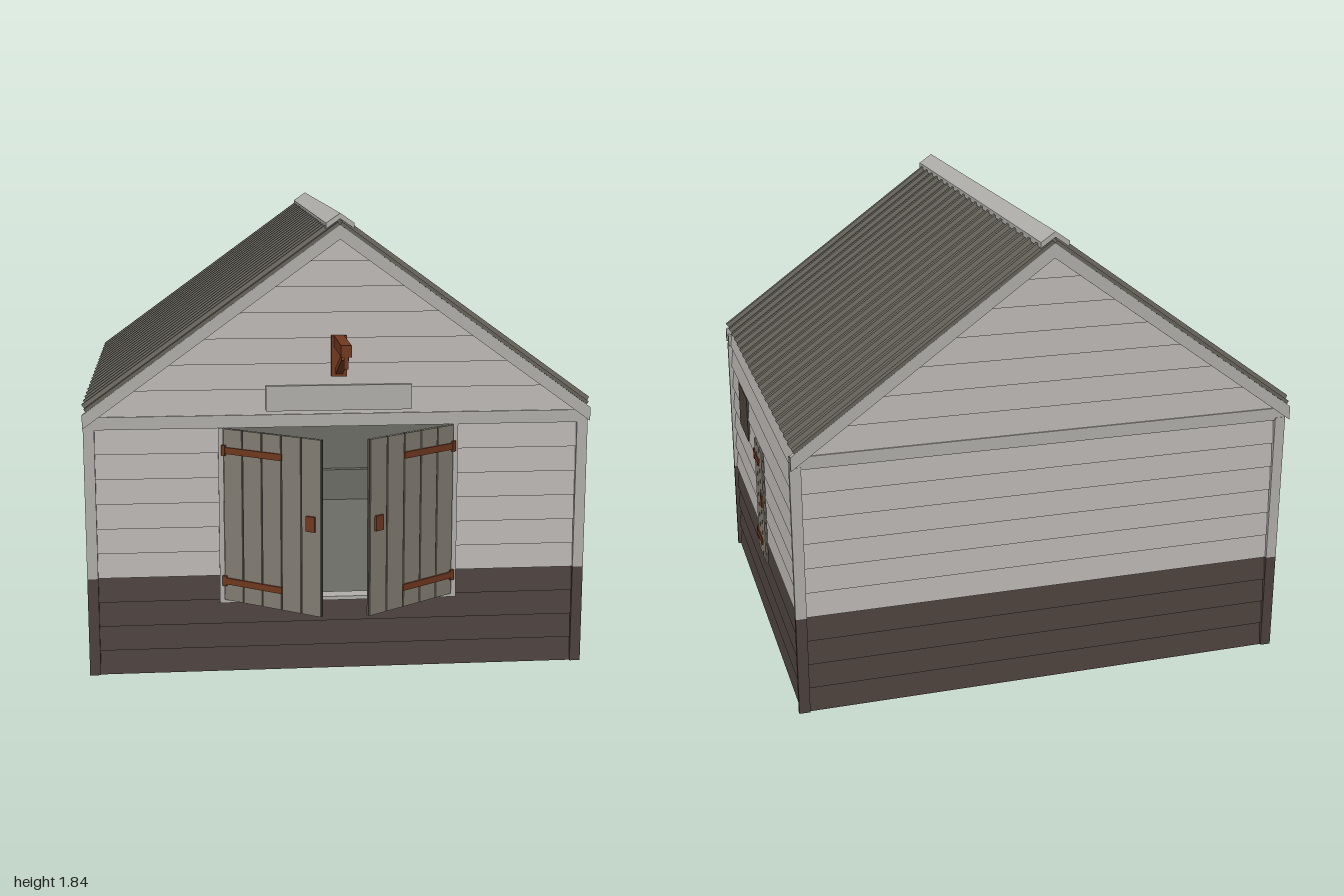
import * as THREE from 'three';

const paint = (name, color) => {
  const m = new THREE.MeshStandardMaterial({ color, side: THREE.DoubleSide, flatShading: true });
  m.name = name;
  return m;
};

export function createModel() {
  const wall = paint('pale wall', 0xb6b2b0);
  const base = paint('dark base', 0x4c413d);
  const trim = paint('grey trim', 0xb0aeaa);
  const roofing = paint('roof sheet', 0x65635a);
  const timber = paint('door timber', 0x827d72);
  const groove = paint('door groove', 0x55514a);
  const rust = paint('rusty iron', 0x70391f);
  const lining = paint('interior lining', 0x6c6c65);
  const dark = paint('window', 0x4d4239);

  const root = new THREE.Group();
  root.name = 'barn';
  const FRONT = 0.76, BACK = -0.99, MID = -0.115;
  const EAVE = 1.05, SLOPE = 0.725, RIDGE = 1.79;

  const add = (parent, name, geo, mat) => {
    const m = new THREE.Mesh(geo, mat);
    m.name = name;
    parent.add(m);
    return m;
  };
  // box given by its min and max on each axis
  const box = (parent, name, mat, x0, x1, y0, y1, z0, z1) => {
    const m = add(parent, name, new THREE.BoxGeometry(Math.abs(x1 - x0), y1 - y0, Math.abs(z1 - z0)), mat);
    m.position.set((x0 + x1) / 2, (y0 + y1) / 2, (z0 + z1) / 2);
    return m;
  };

  // overlapping boards: slanted face plus underside lip; span(y, middle) gives [left, right] pairs
  const LIP = 0.012;
  function boards(y0, y1, span) {
    const pos = [];
    const quad = (a, b, c, d) => pos.push(...a, ...b, ...c, ...a, ...c, ...d);
    for (let y = y0; y < y1 - 0.001; y += 0.1) {
      const t = Math.min(y + 0.1, y1), mid = (y + t) / 2;
      const low = span(y, mid), high = span(t, mid);
      low.forEach(([l, r], i) => {
        const [tl, tr] = high[i];
        quad([l, y, LIP], [r, y, LIP], [tr, t, 0], [tl, t, 0]);
        quad([l, y, 0], [r, y, 0], [r, y, LIP], [l, y, LIP]);
      });
    }
    const g = new THREE.BufferGeometry();
    g.setAttribute('position', new THREE.Float32BufferAttribute(pos, 3));
    g.computeVertexNormals();
    return g;
  }
  function wallSide(name, x, z, turn, span, gable) {
    const g = new THREE.Group();
    g.name = name;
    g.position.set(x, 0, z);
    g.rotation.y = turn;
    add(g, 'baseBoards', boards(0, 0.4, span), base);
    add(g, 'wallBoards', boards(0.4, gable ? 1 : 1.08, span), wall);
    if (gable) {
      const rake = (y) => {
        const w = Math.max(0, Math.min(0.985, (1.785 - y) / SLOPE));
        return [[-w, w]];
      };
      add(g, 'gableBoards', boards(EAVE, 1.78, rake), wall);
      box(g, 'tieBeam', trim, -0.995, 0.995, 1, EAVE, -0.01, 0.018);
    }
    root.add(g);
  }
  const full = (w) => () => [[-w, w]];
  const doorway = (y, mid) => (mid > 0.3 ? [[-0.985, -0.46], [0.46, 0.985]] : [[-0.985, 0.985]]);
  wallSide('frontWall', 0, 0.705, 0, doorway, true);
  wallSide('backWall', 0, -0.935, Math.PI, full(0.985), true);
  wallSide('leftWall', 0.975, MID, Math.PI / 2, full(0.822), false);
  wallSide('rightWall', -0.975, MID, -Math.PI / 2, full(0.822), false);

  // two-tone corner posts
  for (const s of [-1, 1]) {
    for (const [z0, z1] of [[0.705, 0.725], [-0.955, -0.935]]) {
      box(root, 'cornerPostBase', base, s * 0.955, s * 0.998, 0, 0.4, z0, z1);
      box(root, 'cornerPost', trim, s * 0.955, s * 0.998, 0.4, 1.01, z0, z1);
    }
  }

  // ground slab and interior
  box(root, 'groundSlab', base, -0.975, 0.975, 0, 0.02, -0.935, 0.705);
  box(root, 'interiorFloor', lining, -0.96, 0.96, 0.28, 0.295, -0.92, 0.7);
  box(root, 'interiorBack', lining, -0.96, 0.96, 0.295, 1.04, -0.925, -0.915);
  box(root, 'interiorLedge', lining, -0.96, 0.96, 0.295, 0.45, -0.915, -0.88);
  for (const s of [-1, 1]) box(root, 'interiorSide', lining, s * 0.955, s * 0.965, 0.295, 1.04, -0.92, 0.69);

  // ribbed roof sheets, section extruded down each slope
  const angle = Math.atan(SLOPE), half = (FRONT - BACK) / 2;
  const section = new THREE.Shape();
  section.moveTo(-half, 0);
  section.lineTo(-half, 0.014);
  const RIBS = 20, pitch = (2 * half) / RIBS;
  for (let i = 0; i < RIBS; i++) {
    const c = -half + (i + 0.5) * pitch;
    section.lineTo(c - 0.017, 0.014);
    section.lineTo(c - 0.01, 0.03);
    section.lineTo(c + 0.01, 0.03);
    section.lineTo(c + 0.017, 0.014);
  }
  section.lineTo(half, 0.014);
  section.lineTo(half, 0);
  for (const s of [-1, 1]) {
    const geo = new THREE.ExtrudeGeometry(section, { depth: 0.982 / Math.cos(angle), bevelEnabled: false });
    geo.applyMatrix4(new THREE.Matrix4().makeBasis(
      new THREE.Vector3(0, 0, -s),
      new THREE.Vector3(s * Math.sin(angle), Math.cos(angle), 0),
      new THREE.Vector3(s * Math.cos(angle), -Math.sin(angle), 0)));
    add(root, 'roofSheet', geo, roofing).position.set(0, RIDGE, MID);
  }

  // chevrons: ridge cap and barge boards
  function chevron(name, w, top, edge, thick, z0, z1) {
    const sh = new THREE.Shape([[0, top], [-w, edge], [-w, edge - thick], [0, top - thick],
      [w, edge - thick], [w, edge]].map(([x, y]) => new THREE.Vector2(x, y)));
    const geo = new THREE.ExtrudeGeometry(sh, { depth: z1 - z0, bevelEnabled: false });
    add(root, name, geo, trim).position.z = z0;
  }
  chevron('ridgeCap', 0.055, 1.835, 1.797, 0.022, BACK - 0.002, FRONT + 0.002);
  chevron('frontBargeBoard', 0.998, RIDGE, 1.066, 0.055, FRONT - 0.02, FRONT);
  chevron('backBargeBoard', 0.998, RIDGE, 1.066, 0.055, BACK, BACK + 0.02);

  // doorway frame and blank board over it
  for (const s of [-1, 1]) box(root, 'doorJamb', trim, s * 0.455, s * 0.475, 0.29, 1, 0.68, 0.726);
  box(root, 'doorSill', trim, -0.475, 0.475, 0.288, 0.303, 0.66, 0.726);
  box(root, 'signBoard', trim, -0.287, 0.287, 1.065, 1.165, 0.705, 0.732);

  // plank door leaf from its hinge (local x = 0) towards s
  function leaf(parent, s, width, y0, y1, count, thick, strapLen, strapYs, strapH, handle, iron) {
    const p = width / count;
    box(parent, 'doorBacking', groove, 0, s * width, y0, y1, -thick, thick * 0.3);
    for (let i = 0; i < count; i++) {
      box(parent, 'doorPlank', timber, s * (i * p + 0.003), s * ((i + 1) * p - 0.003), y0, y1, -thick * 1.2, thick);
    }
    for (const y of strapYs) {
      box(parent, 'hingeStrap', rust, 0, s * strapLen, y - strapH, y + strapH, thick, thick + iron);
      box(parent, 'hingeKnuckle', rust, -s * 0.004, s * 0.014, y - strapH * 1.6, y + strapH * 1.6, thick - iron, thick + iron * 1.3);
    }
    const [hx, hy, hw, hh] = handle;
    box(parent, 'doorHandle', rust, s * (hx - hw), s * (hx + hw), hy - hh, hy + hh, thick, thick + iron * 1.5);
  }

  // pair of doors standing ajar
  for (const s of [1, -1]) {
    const door = new THREE.Group();
    door.name = s > 0 ? 'frontDoorRight' : 'frontDoorLeft';
    door.position.set(-s * 0.452, 0, 0.728);
    door.rotation.y = -s * 0.61;
    leaf(door, s, 0.443, 0.305, 1, 5, 0.008, 0.27, [0.915, 0.385], 0.013, [0.4, 0.67, 0.019, 0.03], 0.007);
    root.add(door);
  }

  // small door and window on the side
  const sideDoor = new THREE.Group();
  sideDoor.name = 'sideDoor';
  sideDoor.position.set(0.99, 0, -0.012);
  sideDoor.rotation.y = Math.PI / 2;
  leaf(sideDoor, 1, 0.198, 0.303, 0.8, 3, 0.005, 0.125, [0.73, 0.37], 0.014, [0.165, 0.575, 0.017, 0.027], 0.004);
  root.add(sideDoor);
  box(root, 'sideWindow', dark, 0.982, 0.99, 0.7, 0.9, 0.21, 0.46);

  // hoist over the doorway
  const hoist = new THREE.Group();
  hoist.name = 'hoist';
  root.add(hoist);
  box(hoist, 'hoistPlate', rust, -0.03, 0.03, 1.2, 1.36, 0.705, 0.735);
  box(hoist, 'hoistBeam', rust, -0.02, 0.02, 1.315, 1.36, 0.72, 1);
  box(hoist, 'hoistHook', rust, -0.008, 0.008, 1.27, 1.32, 0.984, 0.996);
  const brace = box(hoist, 'hoistBrace', rust, -0.014, 0.014, -0.013, 0.013, -0.125, 0.125);
  brace.position.set(0, 1.265, 0.84);
  brace.rotation.x = -0.38;

  return root;
}
